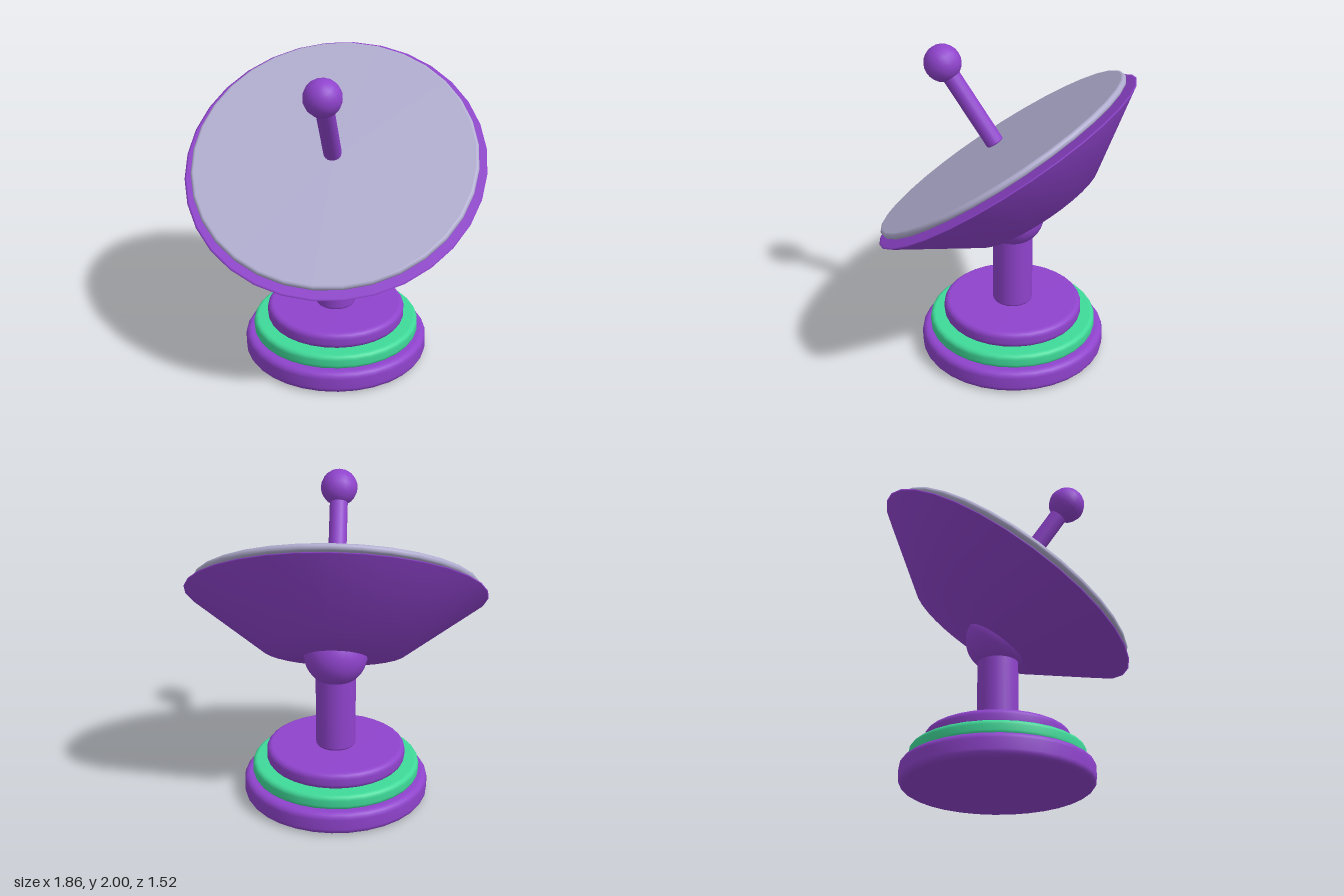
import * as THREE from 'three';

const purple = new THREE.MeshStandardMaterial({ color: 0x8f43cc });
const green = new THREE.MeshStandardMaterial({ color: 0x3fd999 });
const lilacGrey = new THREE.MeshStandardMaterial({ color: 0xb0accf });
purple.name = 'purple';
green.name = 'green';
lilacGrey.name = 'lilac grey';

// Closed disc from y0 to y1 with rounded edges
function roundedDisc(radius, y0, y1, bevel, segments = 32) {
  const points = [new THREE.Vector2(0, y0)];
  const steps = 4;
  for (const [cy, start] of [[y0 + bevel, -Math.PI / 2], [y1 - bevel, 0]]) {
    for (let i = 0; i <= steps; i++) {
      const a = start + (i / steps) * Math.PI / 2;
      points.push(new THREE.Vector2(radius - bevel + Math.cos(a) * bevel, cy + Math.sin(a) * bevel));
    }
  }
  points.push(new THREE.Vector2(0, y1));
  return new THREE.LatheGeometry(points, segments);
}

function addPart(parent, name, geometry, material, y = 0) {
  const mesh = new THREE.Mesh(geometry, material);
  mesh.name = name;
  mesh.position.y = y;
  parent.add(mesh);
  return mesh;
}

export function createModel() {
  const model = new THREE.Group();
  model.name = 'dishAntenna';

  // Stepped base, post and ball joint
  const stand = new THREE.Group();
  stand.name = 'stand';
  stand.position.z = -0.045;
  addPart(stand, 'basePlate', roundedDisc(0.585, 0, 0.145, 0.04), purple);
  addPart(stand, 'baseRing', roundedDisc(0.53, 0.14, 0.235, 0.03), green);
  addPart(stand, 'baseTop', roundedDisc(0.44, 0.23, 0.335, 0.035), purple);
  addPart(stand, 'post', roundedDisc(0.126, 0.33, 0.86, 0.02, 24), purple);
  addPart(stand, 'ballJoint', new THREE.SphereGeometry(0.2, 24, 16), purple, 0.95);
  model.add(stand);

  // Tilted head, with its axis along local y and its rim at y = 0
  const head = new THREE.Group();
  head.name = 'dishHead';
  head.position.y = 1.315;
  head.rotation.x = 0.613;

  // Conical shell with a flat back and a closed front
  const shell = [[0, -0.348], [0.44, -0.348], [0.922, -0.006], [0.928, 0], [0.915, 0.003], [0, 0.003]]
    .map(([r, y]) => new THREE.Vector2(r, y));
  addPart(head, 'dishShell', new THREE.LatheGeometry(shell, 32), purple);

  // Reflector floating just above the rim
  addPart(head, 'reflector', roundedDisc(0.88, 0.028, 0.07, 0.02), lilacGrey);

  // Feed rod and receiver ball
  addPart(head, 'feedRod', roundedDisc(0.056, 0.118, 0.66, 0.01, 16), purple);
  addPart(head, 'receiverBall', new THREE.SphereGeometry(0.115, 16, 12), purple, 0.7);
  model.add(head);

  return model;
}
